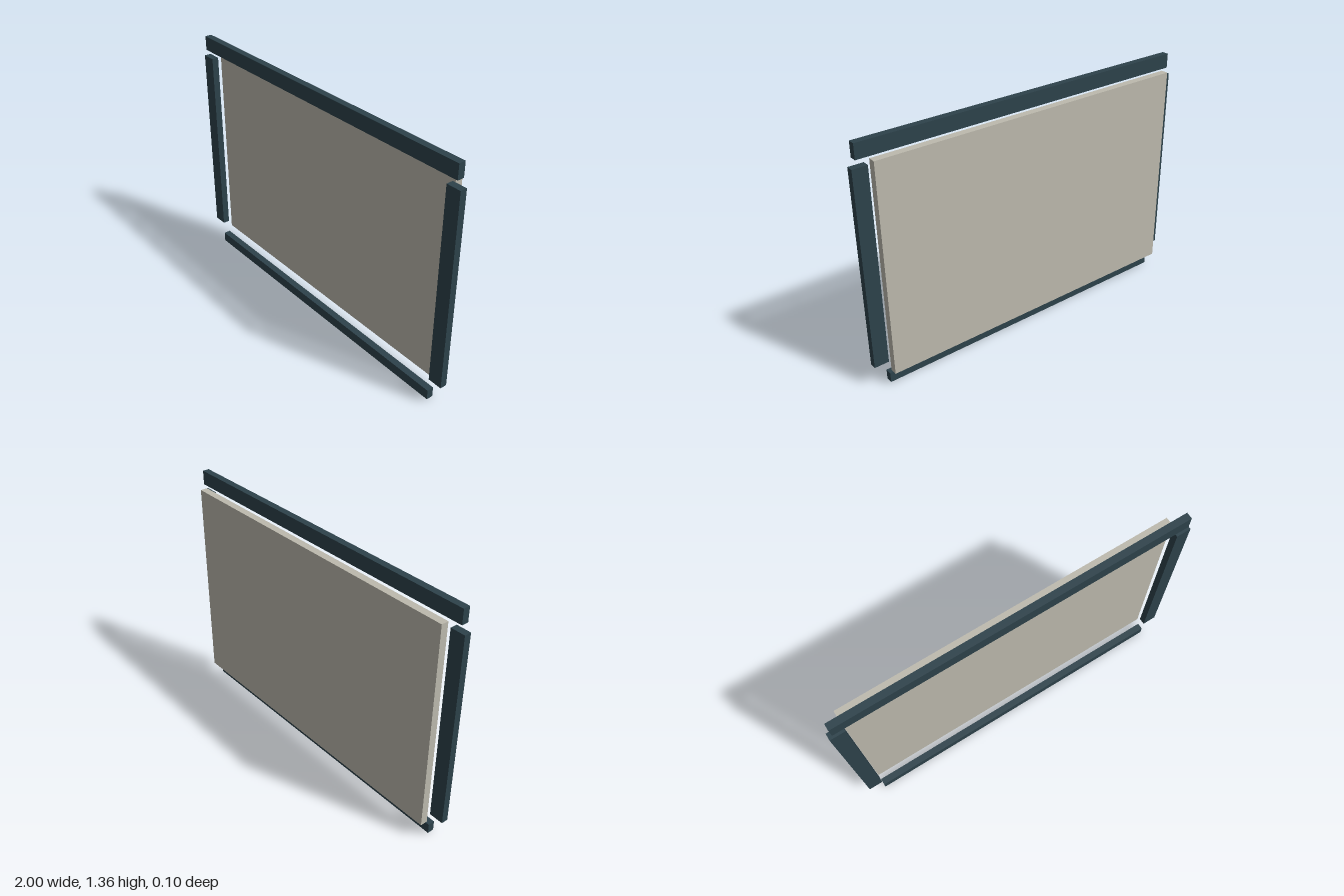
import * as THREE from 'three';

export function createModel() {
  const group = new THREE.Group();
  group.name = 'framedPanel';

  const frameDark = new THREE.MeshStandardMaterial({ color: 0x2d424b });
  frameDark.name = 'dark slate';
  const panelStone = new THREE.MeshStandardMaterial({ color: 0xbdbaae });
  panelStone.name = 'warm grey';

  // Adds a box spanning the given ranges on each axis
  function slab(name, material, [x0, x1], [y0, y1], [z0, z1]) {
    const mesh = new THREE.Mesh(new THREE.BoxGeometry(x1 - x0, y1 - y0, z1 - z0), material);
    mesh.position.set((x0 + x1) / 2, (y0 + y1) / 2, (z0 + z1) / 2);
    mesh.name = name;
    group.add(mesh);
  }

  const frameDepth = [0.011, 0.049];

  // Back panel, set just behind the frame
  slab('panel', panelStone, [-0.919, 0.919], [0.093, 1.276], [-0.049, -0.008]);

  // Separate frame rails: top, bottom and the two sides
  slab('topRail', frameDark, [-0.978, 0.978], [1.276, 1.357], frameDepth);
  slab('bottomRail', frameDark, [-0.919, 0.919], [0, 0.057], frameDepth);
  slab('leftRail', frameDark, [0.919, 1], [0.133, 1.236], frameDepth);
  slab('rightRail', frameDark, [-1, -0.919], [0.133, 1.236], frameDepth);

  return group;
}
